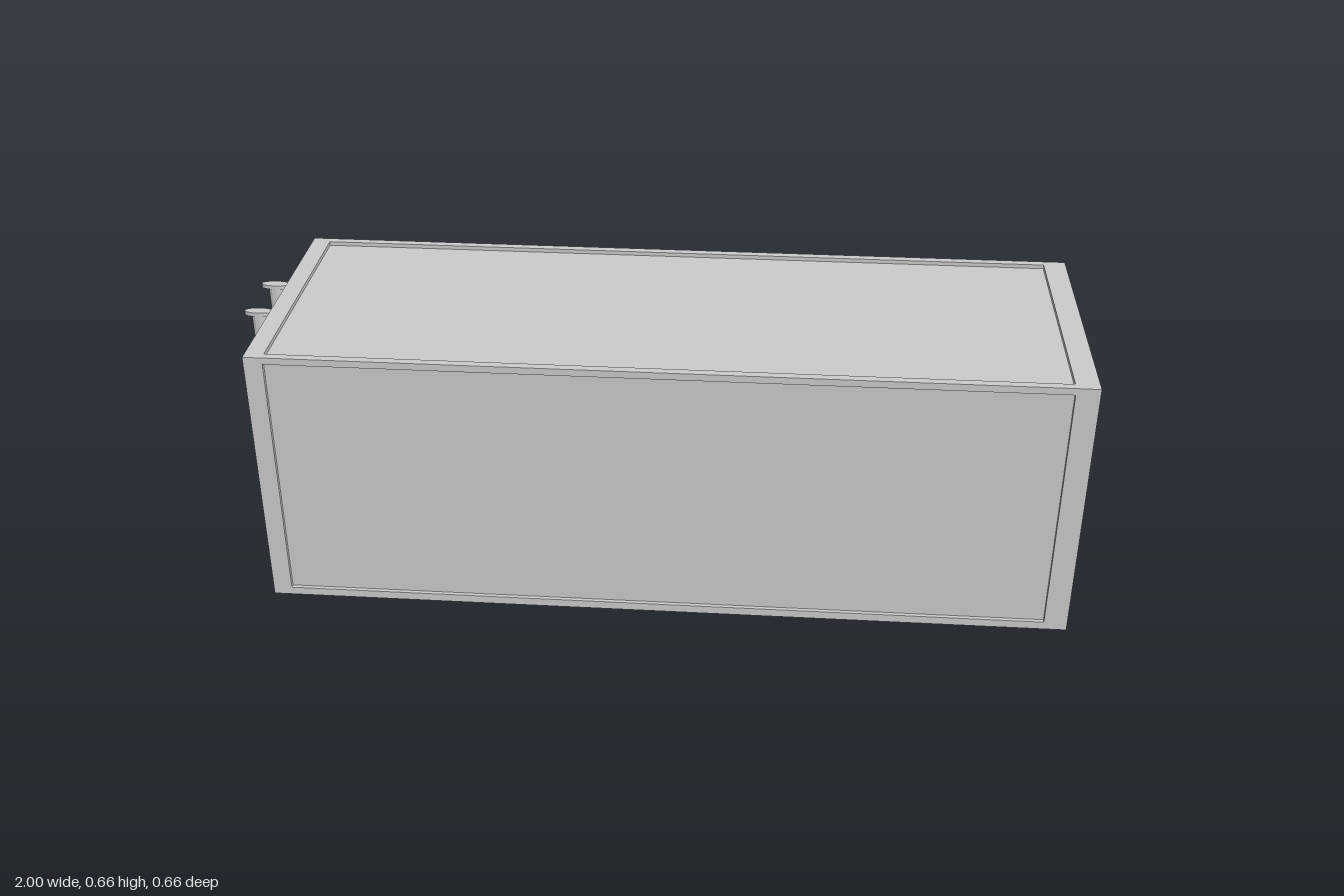
import * as THREE from 'three';

const material = new THREE.MeshStandardMaterial({ color: 0xcccccc, flatShading: true });

export function createModel() {
  const group = new THREE.Group();

  function add(name, geometry, x = 0, y = 0, z = 0) {
    const mesh = new THREE.Mesh(geometry, material);
    mesh.name = name;
    mesh.position.set(x, y, z);
    group.add(mesh);
    return mesh;
  }

  // Rectangle given by its edges, as corner points
  const rect = (x0, y0, x1, y1) => [[x0, y0], [x1, y0], [x1, y1], [x0, y1]].map(p => new THREE.Vector2(...p));

  // Flat rectangular frame with a rectangular opening
  function frame(outer, inner, depth) {
    const shape = new THREE.Shape(rect(...outer));
    shape.holes.push(new THREE.Path(rect(...inner)));
    return new THREE.ExtrudeGeometry(shape, { depth, bevelEnabled: false });
  }

  // Main box, whose faces are the recessed panels
  add('body', new THREE.BoxGeometry(1.87, 0.65, 0.64), 0.065, 0.325, 0);

  // Raised borders on the long sides and the roof
  const sideFrame = frame([-0.93, 0, 1, 0.65], [-0.885, 0.02, 0.945, 0.643], 0.01);
  add('frontFrame', sideFrame, 0, 0, 0.32);
  add('backFrame', sideFrame, 0, 0, -0.33);
  const roofFrame = frame([-0.93, -0.33, 1, 0.33], [-0.885, -0.31, 0.945, 0.31], 0.01);
  roofFrame.rotateX(-Math.PI / 2);
  add('roofFrame', roofFrame, 0, 0.65, 0);

  // Door surround at the -x end
  const doorFrame = frame([-0.32, 0, 0.32, 0.65], [-0.31, 0.02, 0.31, 0.64], 0.06);
  doorFrame.rotateY(-Math.PI / 2);
  add('doorFrame', doorFrame, -0.87, 0, 0);

  // Door panel with horizontal pressed ribs
  const inX = -0.88, outX = -0.92;
  const profile = [[-0.868, 0.02], [inX, 0.02]];
  for (let i = 0; i < 4; i++) {
    const y = 0.19 + i * 0.152;
    profile.push([inX, y - 0.112], [outX, y - 0.09], [outX, y - 0.02]);
    if (i < 3) profile.push([inX, y + 0.025]);
  }
  profile.push([outX + 0.01, 0.64], [-0.868, 0.64]);
  const doorShape = new THREE.Shape(profile.map(p => new THREE.Vector2(...p)));
  add('doorPanel', new THREE.ExtrudeGeometry(doorShape, { depth: 0.62, bevelEnabled: false }), 0, 0, -0.31);

  // Seam strip and handle where the two doors meet
  add('doorSeam', new THREE.BoxGeometry(0.045, 0.62, 0.02), -0.8975, 0.33, 0);
  add('doorHandle', new THREE.BoxGeometry(0.025, 0.055, 0.04), -0.9275, 0.333, 0);

  // Vertical locking bars held by oval brackets
  for (const z of [-0.075, 0.075]) {
    const bar = add('lockingBar', new THREE.CylinderGeometry(0.02, 0.02, 0.63, 12), -0.963, 0.333, z);
    bar.scale.z = 0.6;
    for (const y of [0.018, 0.645]) {
      const bracket = add('barBracket', new THREE.CylinderGeometry(0.037, 0.037, 0.01, 16), -0.963, y, z);
      bracket.scale.z = 0.38;
    }
  }
  return group;
}
